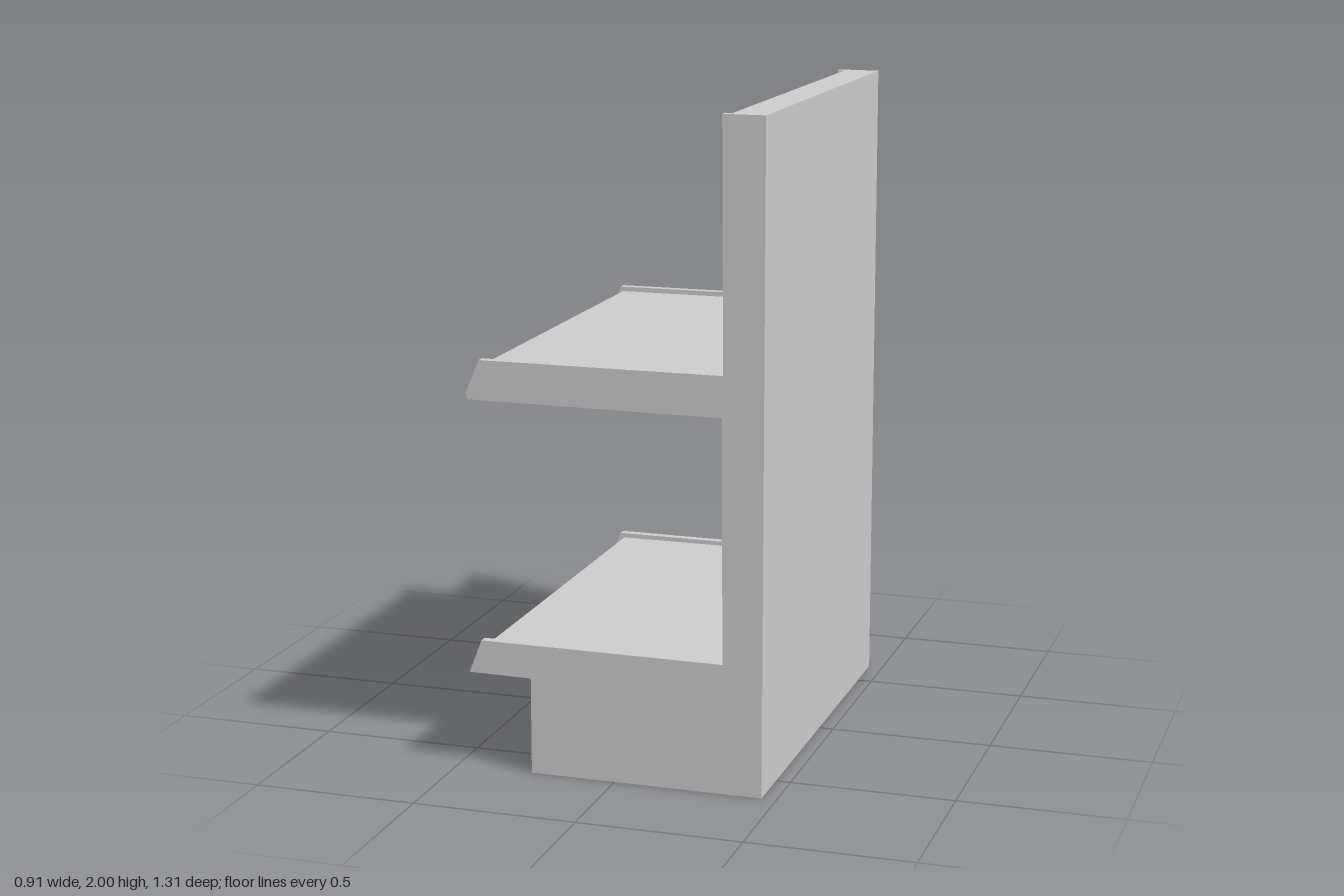
import * as THREE from 'three';

const material = new THREE.MeshStandardMaterial({ color: 0xcccccc, flatShading: true });

// Extrude a side profile (x, y) along z, centred on the given z.
function slab(name, points, depth, z) {
  const shape = new THREE.Shape(points.map(([x, y]) => new THREE.Vector2(x, y)));
  const geometry = new THREE.ExtrudeGeometry(shape, { depth, bevelEnabled: false });
  geometry.translate(0, 0, z - depth / 2);
  const mesh = new THREE.Mesh(geometry, material);
  mesh.name = name;
  return mesh;
}

export function createModel() {
  const group = new THREE.Group();
  group.name = 'shelvingUnit';
  const back = 0.455, halfDepth = 0.655, endThickness = 0.028;

  // End panels: base, lower shelf end, upright and upper shelf end in one outline
  const endProfile = [
    [back, 0], [back, 2], [0.328, 2], [0.333, 1.255],
    [-0.413, 1.255], [-0.455, 1.155], [-0.45, 1.135], [0.33, 1.132],
    [0.334, 0.397], [-0.418, 0.4], [-0.457, 0.298], [-0.262, 0.296], [-0.262, 0],
  ];
  for (const [side, name] of [[1, 'frontEndPanel'], [-1, 'backEndPanel']]) {
    group.add(slab(name, endProfile, endThickness, side * (halfDepth - endThickness / 2)));
  }

  // Inner parts sit slightly recessed between the end panels
  const innerDepth = 2 * (halfDepth - endThickness);
  const wall = 0.35;
  group.add(slab('backPanel', [[wall, 0], [back, 0], [back, 2], [wall, 2]], innerDepth, 0));
  group.add(slab('base', [[-0.262, 0], [wall, 0], [wall, 0.297], [-0.262, 0.297]], innerDepth, 0));

  // Shelves with a sloping front edge
  for (const [name, bottom, top] of [['lowerShelf', 0.297, 0.385], ['upperShelf', 1.147, 1.24]]) {
    const profile = [[wall, bottom], [wall, top], [-0.404, top], [-0.44, bottom + 0.005], [-0.438, bottom]];
    group.add(slab(name, profile, innerDepth, 0));
  }
  return group;
}
